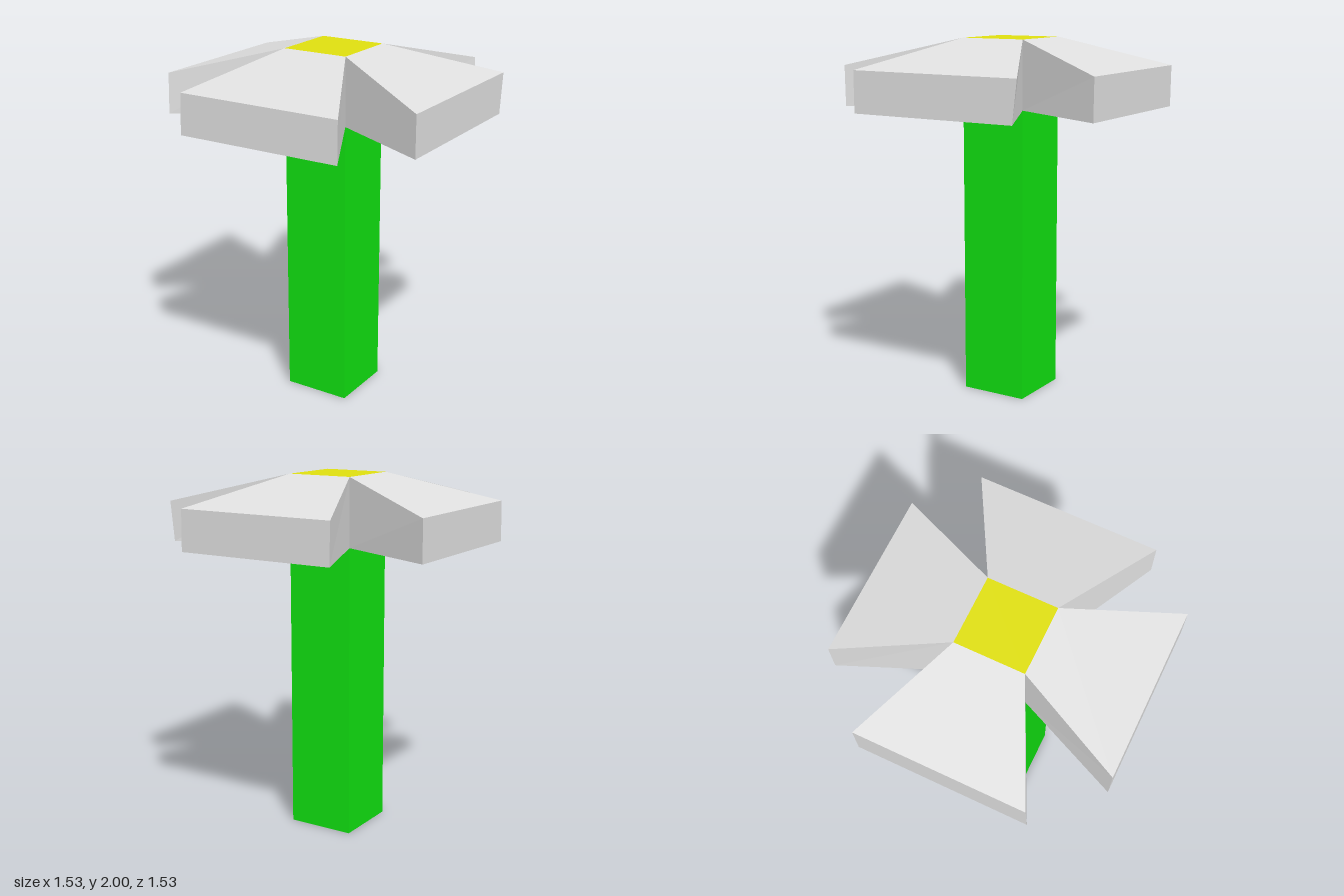
import * as THREE from 'three';

const HALF = 0.19;    // half width of stem and centre
const REACH = 0.765;  // distance from axis to petal rim
const BASE = 1.625, RIM = 1.85, TOP = 2;

// Flaring wedge facing +z; top and bottom are the [left, right] ends of its rim.
function petalGeometry(top, bottom) {
  const geo = new THREE.BoxGeometry(2, 2, 2).toNonIndexed();
  const p = geo.attributes.position;
  for (let i = 0; i < p.count; i++) {
    const right = p.getX(i) > 0 ? 1 : 0;
    const upper = p.getY(i) > 0;
    if (p.getZ(i) > 0) {
      p.setXYZ(i, (upper ? top : bottom)[right], upper ? RIM : BASE, REACH);
    } else {
      p.setXYZ(i, right ? HALF : -HALF, upper ? TOP : BASE, HALF);
    }
  }
  geo.computeVertexNormals();
  return geo;
}

export function createModel() {
  const green = new THREE.MeshStandardMaterial({ color: 0x10e010 });
  green.name = 'stem green';
  const grey = new THREE.MeshStandardMaterial({ color: 0xe0e0e0 });
  grey.name = 'petal grey';
  const yellow = new THREE.MeshStandardMaterial({ color: 0xe0e010 });
  yellow.name = 'centre yellow';

  const flower = new THREE.Group();
  flower.name = 'flower';

  // Square post between two heights
  const addPost = (name, y0, y1, material) => {
    const mesh = new THREE.Mesh(new THREE.BoxGeometry(HALF * 2, y1 - y0, HALF * 2), material);
    mesh.position.y = (y0 + y1) / 2;
    mesh.name = name;
    flower.add(mesh);
  };
  addPost('stem', 0, BASE, green);
  addPost('flowerCentre', BASE, TOP, yellow);

  // Four slightly uneven petals
  const petals = [
    { name: 'frontPetal', turn: 0, top: [-0.435, 0.503], bottom: [-0.445, 0.5] },
    { name: 'leftPetal', turn: Math.PI / 2, top: [-0.485, 0.507], bottom: [-0.485, 0.48] },
    { name: 'backPetal', turn: Math.PI, top: [-0.473, 0.435], bottom: [-0.478, 0.43] },
    { name: 'rightPetal', turn: -Math.PI / 2, top: [-0.455, 0.465], bottom: [-0.45, 0.475] },
  ];
  for (const { name, turn, top, bottom } of petals) {
    const petal = new THREE.Mesh(petalGeometry(top, bottom), grey);
    petal.rotation.y = turn;
    petal.name = name;
    flower.add(petal);
  }
  return flower;
}
